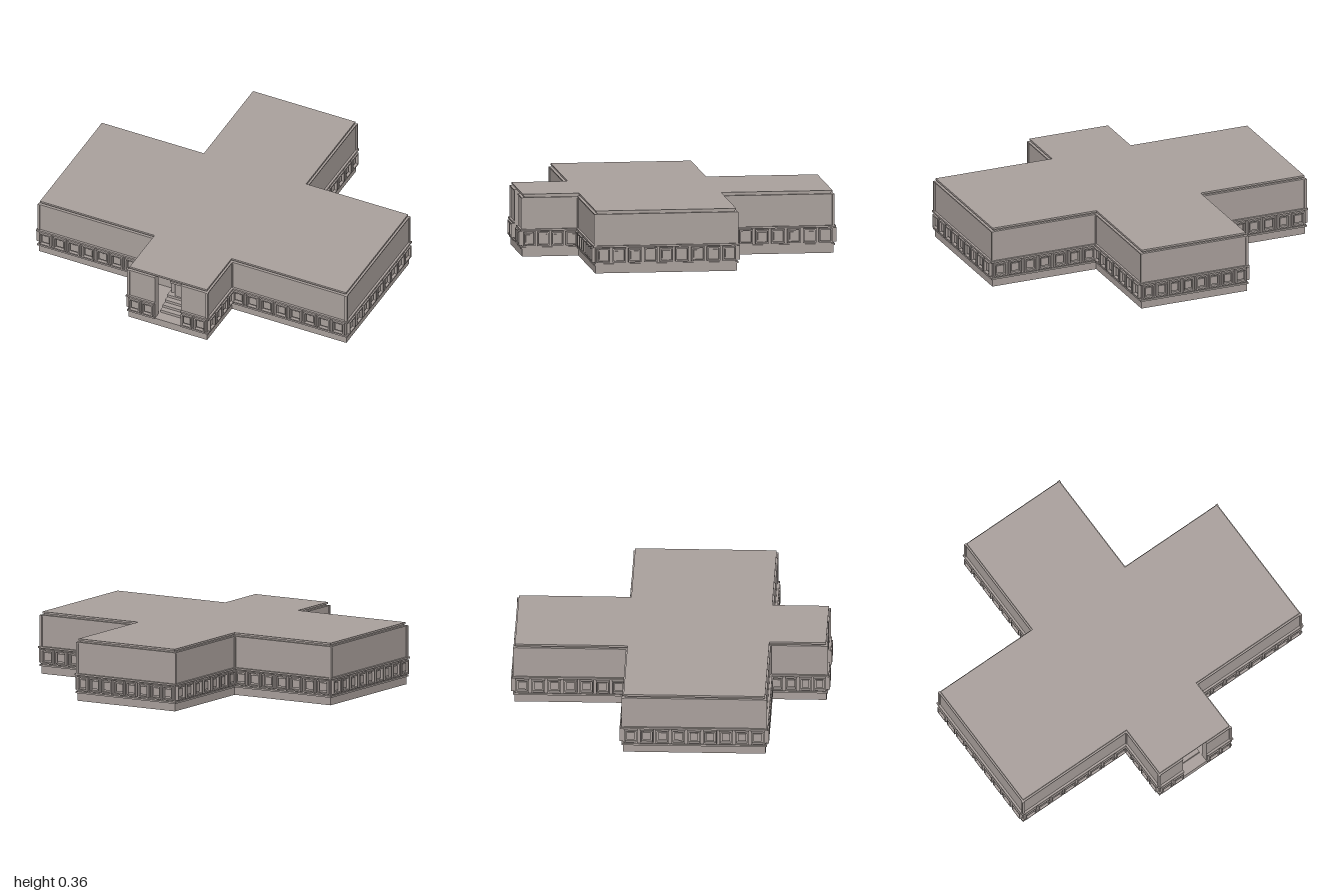
import * as THREE from 'three';

const FRONT = 0.895, DOOR = 0.083;

// Plan corners (x, z), front left first; o pushes the outline outwards
function outline(o) {
  return [[-0.25, FRONT], [0.25, FRONT], [0.25, 0.57], [0.98, 0.57], [0.98, -0.25], [0.33, -0.25],
    [0.33, -0.895], [-0.33, -0.895], [-0.33, -0.25], [-0.98, -0.25], [-0.98, 0.57], [-0.25, 0.57]]
    .map(([x, z]) => [x + Math.sign(x) * o, z + Math.sign(z) * o]);
}

export function createModel() {
  const model = new THREE.Group();
  const stone = new THREE.MeshStandardMaterial({ color: 0xaaa19d });
  stone.name = 'warm grey stone';

  const add = (name, geometry, x = 0, y = 0, z = 0, parent = model) => {
    const mesh = new THREE.Mesh(geometry, stone);
    mesh.name = name;
    mesh.position.set(x, y, z);
    parent.add(mesh);
    return mesh;
  };
  const box = (name, w, h, d, x, y, z, parent) => add(name, new THREE.BoxGeometry(w, h, d), x, y, z, parent);

  // One horizontal layer of the plan, optionally cut by the doorway and porch room
  function layer(name, y0, y1, o, open = false) {
    const pts = outline(o);
    if (open) {
      const half = [[DOOR, FRONT + o], [DOOR, FRONT - 0.045], [0.215, FRONT - 0.045], [0.215, 0.6]];
      pts.splice(1, 0, ...half.map(([x, z]) => [-x, z]), ...half.reverse());
    }
    const shape = new THREE.Shape(pts.map(([x, z]) => new THREE.Vector2(x, -z)));
    const geo = new THREE.ExtrudeGeometry(shape, { depth: y1 - y0, bevelEnabled: false });
    geo.rotateX(-Math.PI / 2);
    add(name, geo, 0, y0, 0);
  }
  layer('plinth', 0, 0.045, 0);
  layer('lowerLedge', 0.045, 0.055, 0.008, true);
  layer('dado', 0.055, 0.15, 0, true);
  layer('dadoRail', 0.15, 0.16, 0.013, true);
  layer('wall', 0.16, 0.342, 0, true);
  layer('corniceRecess', 0.342, 0.35, -0.012);
  layer('roof', 0.35, 0.361, -0.004);

  // Raised rectangular frame with a thin raised field
  function rect(path, w, h) {
    path.moveTo(-w / 2, -h / 2);
    path.lineTo(w / 2, -h / 2);
    path.lineTo(w / 2, h / 2);
    path.lineTo(-w / 2, h / 2);
    path.closePath();
    return path;
  }
  function frameGeometry(w, h, t, depth) {
    const shape = rect(new THREE.Shape(), w, h);
    shape.holes.push(rect(new THREE.Path(), w - 2 * t, h - 2 * t));
    return new THREE.ExtrudeGeometry(shape, { depth, bevelEnabled: false });
  }

  // Rows of panels along every wall
  function panelRow([x0, z0], [x1, z1]) {
    const dx = x1 - x0, dz = z1 - z0, length = Math.hypot(dx, dz);
    const n = Math.max(1, Math.round(length / 0.088)), pitch = length / n;
    const row = new THREE.Group();
    row.name = 'panelRow';
    row.position.set(x0, 0.104, z0);
    row.rotation.y = Math.atan2(-dz, dx);
    const frame = frameGeometry(pitch * 0.84, 0.082, 0.008, 0.019);
    const field = new THREE.BoxGeometry(pitch * 0.5, 0.046, 0.008);
    for (let i = 0; i < n; i++) {
      const x = (i + 0.5) * pitch;
      add('panelFrame', frame, x, 0, 0, row);
      add('panelField', field, x, 0, 0.004, row);
    }
    model.add(row);
  }
  const corners = outline(0);
  corners.forEach((p, i) => {
    const q = corners[(i + 1) % corners.length];
    if (i === 0) {
      panelRow(p, [-DOOR, FRONT]);
      panelRow([DOOR, FRONT], q);
    } else panelRow(p, q);
    // Slim bead up each corner
    box('cornerBead', 0.014, 0.182, 0.014, p[0], 0.251, p[1]);
  });

  // Thin trim under the cornice, broken over the doorway
  layer('wallTopTrim', 0.335, 0.342, 0.004, true);

  // Porch fittings seen through the doorway
  const porch = new THREE.Group();
  porch.name = 'porchFittings';
  model.add(porch);
  for (let i = 0; i < 4; i++) {
    const d = 0.16 - i * 0.03;
    box('step', 0.16, 0.016, d, 0, 0.053 + i * 0.016, 0.67 + d / 2, porch);
  }
  box('pedestal', 0.07, 0.1, 0.06, 0, 0.155, 0.7, porch);
  box('pedestalTop', 0.12, 0.014, 0.09, 0, 0.21, 0.7, porch);
  for (const s of [-1, 1]) {
    add('column', new THREE.CylinderGeometry(0.009, 0.011, 0.2, 10), s * 0.062, 0.153, 0.7, porch);
  }
  box('canopy', 0.155, 0.014, 0.1, 0, 0.26, 0.7, porch);
  add('urn', new THREE.LatheGeometry([[0, 0], [0.016, 0], [0.008, 0.012], [0.024, 0.03], [0.014, 0.042], [0, 0.042]]
    .map(([r, y]) => new THREE.Vector2(r, y)), 12), 0, 0.217, 0.7, porch);
  add('ceilingBoss', new THREE.CylinderGeometry(0.045, 0.03, 0.02, 14), 0, 0.322, 0.72, porch);

  return model;
}
